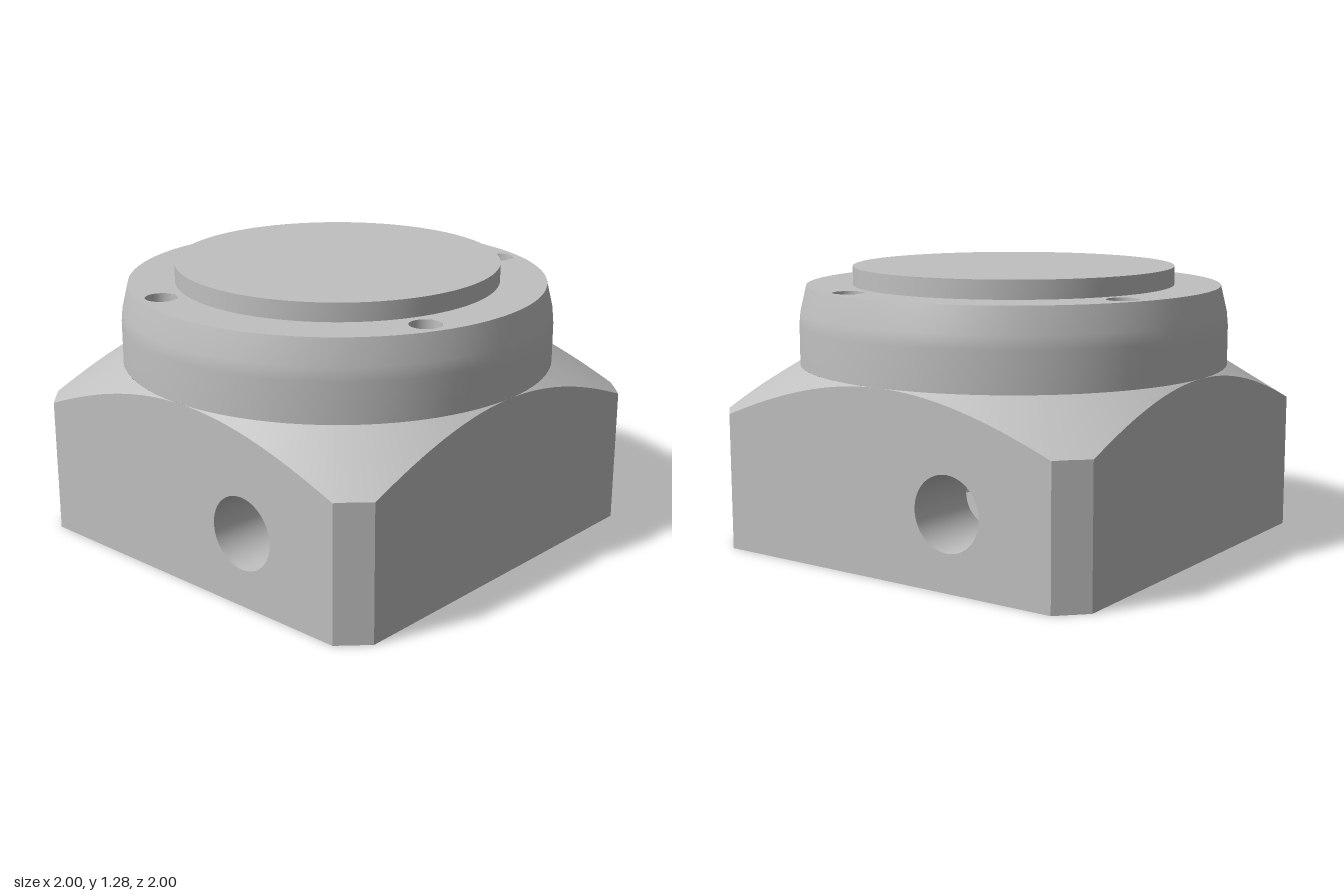
import * as THREE from 'three';

const metal = new THREE.MeshStandardMaterial({ color: 0xc0c0c0, side: THREE.DoubleSide });
metal.name = 'plain grey metal';

// Main sizes
const CORNER = 0.88;                                  // where the corner chamfers start
const RECESS_R = 0.832, RECESS_Y = 0.165;             // shallow recess in the base
const BORE_R = 0.667, BORE_Y = 0.66, INNER_R = 0.527, INNER_Y = 1.1;
const SCREW_D = 0.86, SCREW_A = Math.atan2(0.33, 0.794), SCREW_R = 0.072;
const POCKET_R = 0.124, POCKET_Y = 0.6;
const BOLT = 0.823, BOLT_R = 0.066, BOLT_Y = 0.3;     // blind holes in the base corners
const PORT_Z = -0.36, PORT_Y = 0.34, PORT_R = 0.167;  // side ports
const SHOULDER_Y = 0.835, RIM_Y = 1.2, CAP_R = 0.75, CAP_Y = 1.285;
const Q = Math.PI / 2, TAU = Math.PI * 2;

const coneY = (x, z) => SHOULDER_Y - 0.617 * (Math.hypot(x, z) - 1);
const lerp = THREE.MathUtils.lerp;

function add(group, name, geometry) {
  const mesh = new THREE.Mesh(geometry, metal);
  mesh.name = name;
  group.add(mesh);
}

// Strip of quads between two edges, each a function of t in 0..1 giving [x, y, z]
function ribbon(n, lower, upper) {
  const pos = [], index = [];
  for (let i = 0; i <= n; i++) {
    pos.push(...lower(i / n), ...upper(i / n));
    if (i < n) {
      const a = 2 * i;
      index.push(a, a + 1, a + 2, a + 2, a + 1, a + 3);
    }
  }
  const g = new THREE.BufferGeometry();
  g.setAttribute('position', new THREE.Float32BufferAttribute(pos, 3));
  g.setIndex(index);
  g.computeVertexNormals();
  return g;
}

// Upright wall along an arc
function arcWall(r, a0, a1, y0, y1, cx = 0, cz = 0, n = 32) {
  const at = y => t => {
    const a = lerp(a0, a1, t);
    return [cx + r * Math.cos(a), y, cz + r * Math.sin(a)];
  };
  return ribbon(n, at(y0), at(y1));
}

// Horizontal plate from a shape drawn in x and z
function plate(shape, y, holes = []) {
  for (const [x, z, r] of holes) {
    shape.holes.push(new THREE.Path().absarc(x, z, r, 0, TAU, true));
  }
  return new THREE.ShapeGeometry(shape, 48).rotateX(Q).translate(0, y, 0);
}
const disc = (x, z, r) => new THREE.Shape().absarc(x, z, r, 0, TAU, false);
const around = (d, a, r) => [0, 1, 2, 3].map(k =>
  [d * Math.cos(a + k * Q), d * Math.sin(a + k * Q), r]);

// Where a screw pocket cuts the recess wall
const cut = Math.acos((SCREW_D ** 2 + RECESS_R ** 2 - POCKET_R ** 2) / (2 * SCREW_D * RECESS_R));
const sweep = Math.atan2(RECESS_R * Math.sin(cut), RECESS_R * Math.cos(cut) - SCREW_D);

// Recess outline with the pockets bulging outward, or biting inward
function recessOutline(outward) {
  const pts = [];
  for (let k = 0; k < 4; k++) {
    const a = SCREW_A + k * Q;
    const from = -sweep, to = outward ? sweep : sweep - TAU;
    for (let i = 0; i < 20; i++) {
      const p = a + lerp(from, to, i / 20);
      pts.push(new THREE.Vector2(SCREW_D * Math.cos(a) + POCKET_R * Math.cos(p),
        SCREW_D * Math.sin(a) + POCKET_R * Math.sin(p)));
    }
    for (let i = 0; i < 32; i++) {
      const p = lerp(a + cut, a + Q - cut, i / 32);
      pts.push(new THREE.Vector2(RECESS_R * Math.cos(p), RECESS_R * Math.sin(p)));
    }
  }
  return pts;
}

// Wall above and below a port, on a surface x = xOf(z)
function portBand(group, name, xOf, bottom, topOf) {
  const z = t => PORT_Z - PORT_R * Math.cos(Math.PI * t);
  const h = t => PORT_R * Math.sin(Math.PI * t);
  const at = y => t => [xOf(z(t)), y(t), z(t)];
  add(group, name + 'BelowPort', ribbon(32, at(() => bottom), at(t => PORT_Y - h(t))));
  add(group, name + 'AbovePort', ribbon(32, at(t => PORT_Y + h(t)), at(t => topOf(z(t)))));
}

// One quarter of the housing, facing +x
function quarter(hasPort) {
  const g = new THREE.Group();
  const z0 = PORT_Z - PORT_R, z1 = PORT_Z + PORT_R;
  const line = (a, b) => t => [lerp(a[0], b[0], t), lerp(a[1], b[1], t)];
  const wall = (name, p, n) => add(g, name, ribbon(n,
    t => { const [x, z] = p(t); return [x, 0, z]; },
    t => { const [x, z] = p(t); return [x, coneY(x, z), z]; }));
  const slope = (name, p, n) => add(g, name, ribbon(n,
    t => { const [x, z] = p(t); return [x, coneY(x, z), z]; },
    t => { const [x, z] = p(t), r = Math.hypot(x, z); return [x / r, SHOULDER_Y, z / r]; }));

  // Outer faces and conical shoulder
  const side = line([1, -CORNER], [1, CORNER]), chamfer = line([1, CORNER], [CORNER, 1]);
  wall('chamferWall', chamfer, 4);
  slope('sideShoulder', side, 48);
  slope('cornerShoulder', chamfer, 4);

  // Side wall and main bore, with the port through both
  const boreX = z => Math.sqrt(BORE_R ** 2 - z * z);
  const b0 = -1.22, b1 = b0 + Q;
  if (hasPort) {
    wall('sideWallRear', line([1, -CORNER], [1, z0]), 16);
    wall('sideWallFront', line([1, z1], [1, CORNER]), 32);
    portBand(g, 'sideWall', () => 1, 0, z => coneY(1, z));
    portBand(g, 'bore', boreX, RECESS_Y, () => BORE_Y);
    add(g, 'boreRear', arcWall(BORE_R, b0, Math.asin(z0 / BORE_R), RECESS_Y, BORE_Y));
    add(g, 'boreFront', arcWall(BORE_R, Math.asin(z1 / BORE_R), b1, RECESS_Y, BORE_Y));
    const ring = xOf => t => {
      const z = PORT_Z + PORT_R * Math.cos(t * TAU);
      return [xOf(z), PORT_Y + PORT_R * Math.sin(t * TAU), z];
    };
    add(g, 'portTube', ribbon(64, ring(() => 1), ring(boreX)));
  } else {
    wall('sideWall', side, 48);
    add(g, 'bore', arcWall(BORE_R, b0, b1, RECESS_Y, BORE_Y));
  }

  // Recess wall, screw pocket, screw hole and blind corner hole
  const sx = SCREW_D * Math.cos(SCREW_A), sz = SCREW_D * Math.sin(SCREW_A);
  add(g, 'recessWall', arcWall(RECESS_R, SCREW_A + cut, SCREW_A + Q - cut, 0, RECESS_Y));
  add(g, 'pocketMouth', arcWall(POCKET_R, SCREW_A - sweep, SCREW_A + sweep, 0, RECESS_Y, sx, sz));
  add(g, 'pocketWall', arcWall(POCKET_R, 0, TAU, RECESS_Y, POCKET_Y, sx, sz));
  add(g, 'pocketCeiling', plate(disc(sx, sz, POCKET_R), POCKET_Y, [[sx, sz, SCREW_R]]));
  add(g, 'screwHole', arcWall(SCREW_R, 0, TAU, POCKET_Y, RIM_Y, sx, sz));
  add(g, 'cornerHole', arcWall(BOLT_R, 0, TAU, 0, BOLT_Y, BOLT, BOLT));
  add(g, 'cornerHoleEnd', plate(disc(BOLT, BOLT, BOLT_R), BOLT_Y));
  return g;
}

export function createModel() {
  const model = new THREE.Group();
  model.name = 'flangedHousing';
  for (let k = 0; k < 4; k++) {
    const q = quarter(k % 2 === 0);
    q.name = 'housingQuarter' + (k + 1);
    q.rotation.y = k * Q;
    model.add(q);
  }

  // Base face and recess ledge
  const c = CORNER;
  const base = new THREE.Shape([[1, -c], [1, c], [c, 1], [-c, 1], [-1, c], [-1, -c], [-c, -1], [c, -1]]
    .map(p => new THREE.Vector2(...p)));
  base.holes.push(new THREE.Path(recessOutline(true)));
  add(model, 'baseFace', plate(base, 0, around(BOLT * Math.SQRT2, Q / 2, BOLT_R)));
  add(model, 'recessLedge', plate(new THREE.Shape(recessOutline(false)), RECESS_Y, [[0, 0, BORE_R]]));

  // Stepped inner bore
  add(model, 'boreCeiling', plate(disc(0, 0, BORE_R), BORE_Y, [[0, 0, INNER_R]]));
  add(model, 'innerBore', arcWall(INNER_R, 0, TAU, BORE_Y, INNER_Y, 0, 0, 96));
  add(model, 'innerBoreEnd', plate(disc(0, 0, INNER_R), INNER_Y));

  // Round collar with tapered top, and raised cap
  const profile = [[1, SHOULDER_Y], [1, 1.02], [0.994, 1.08], [0.965, RIM_Y]];
  add(model, 'collar', new THREE.LatheGeometry(profile.map(p => new THREE.Vector2(...p)), 96));
  add(model, 'collarTop', plate(disc(0, 0, 0.965), RIM_Y,
    [[0, 0, CAP_R], ...around(SCREW_D, SCREW_A, SCREW_R)]));
  add(model, 'capWall', arcWall(CAP_R, 0, TAU, RIM_Y, CAP_Y, 0, 0, 96));
  add(model, 'capTop', plate(disc(0, 0, CAP_R), CAP_Y));
  return model;
}
